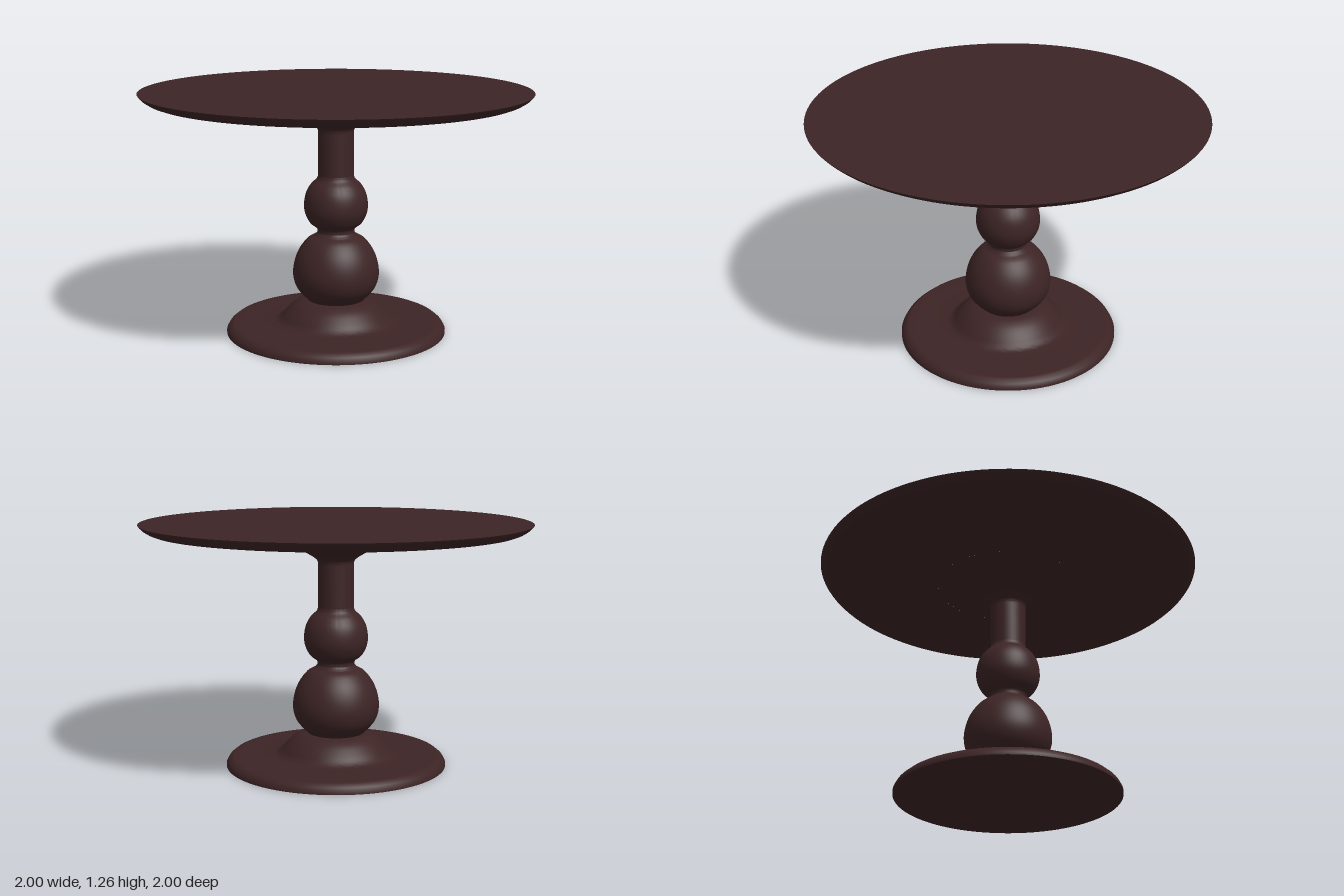
import * as THREE from 'three';
import { toCreasedNormals } from 'three/addons/utils/BufferGeometryUtils.js';

const wood = new THREE.MeshStandardMaterial({ color: 0x3d2425 });
wood.name = 'dark mahogany';

// Turned part: profile of [radius, height] pairs listed from bottom to top
function turned(name, profile, segments = 96) {
  const points = profile.map(([r, y]) => new THREE.Vector2(r, y));
  const geometry = toCreasedNormals(new THREE.LatheGeometry(points, segments), 0.6);
  const mesh = new THREE.Mesh(geometry, wood);
  mesh.name = name;
  return mesh;
}

// Smooth run of profile points through a few guide points
function smooth(guides, steps) {
  const curve = new THREE.SplineCurve(guides.map(([r, y]) => new THREE.Vector2(r, y)));
  return curve.getPoints(steps).map((p) => [p.x, p.y]);
}

export function createModel() {
  const table = new THREE.Group();
  table.name = 'pedestalTable';

  // Round foot with a bevelled rim and a domed collar
  table.add(turned('foot', [
    [0, 0], [0.573, 0], [0.573, 0.012], [0.562, 0.032], [0.542, 0.049],
    ...smooth([[0.53, 0.051], [0.34, 0.055], [0.295, 0.069], [0.265, 0.102],
      [0.225, 0.14], [0.185, 0.162], [0.155, 0.169]], 20),
    [0, 0.169],
  ]));

  // Large lower ball, tapering into the narrow neck
  table.add(turned('lowerBall', smooth([
    [0.135, 0.16], [0.16, 0.182], [0.205, 0.235], [0.224, 0.3], [0.217, 0.37],
    [0.192, 0.435], [0.15, 0.49], [0.11, 0.514], [0.096, 0.53],
  ], 32)));

  // Neck and small upper ball
  table.add(turned('upperBall', smooth([
    [0.096, 0.53], [0.1, 0.552], [0.135, 0.58], [0.16, 0.63], [0.165, 0.68],
    [0.155, 0.735], [0.13, 0.78], [0.1, 0.809], [0.092, 0.83],
  ], 32)));

  // Straight column
  table.add(turned('column', [[0.092, 0.83], [0.092, 1.05]]));

  // Flare supporting the top
  table.add(turned('flare', smooth([
    [0.092, 1.05], [0.098, 1.074], [0.14, 1.104], [0.225, 1.147],
    [0.305, 1.178], [0.375, 1.192],
  ], 20)));

  // Round top with a rounded underside edge
  table.add(turned('tabletop', [
    [0.375, 1.192], [0.9, 1.213], [0.93, 1.217], [0.955, 1.226],
    [0.978, 1.24], [0.993, 1.254], [1, 1.264], [0, 1.264],
  ], 128));

  return table;
}
